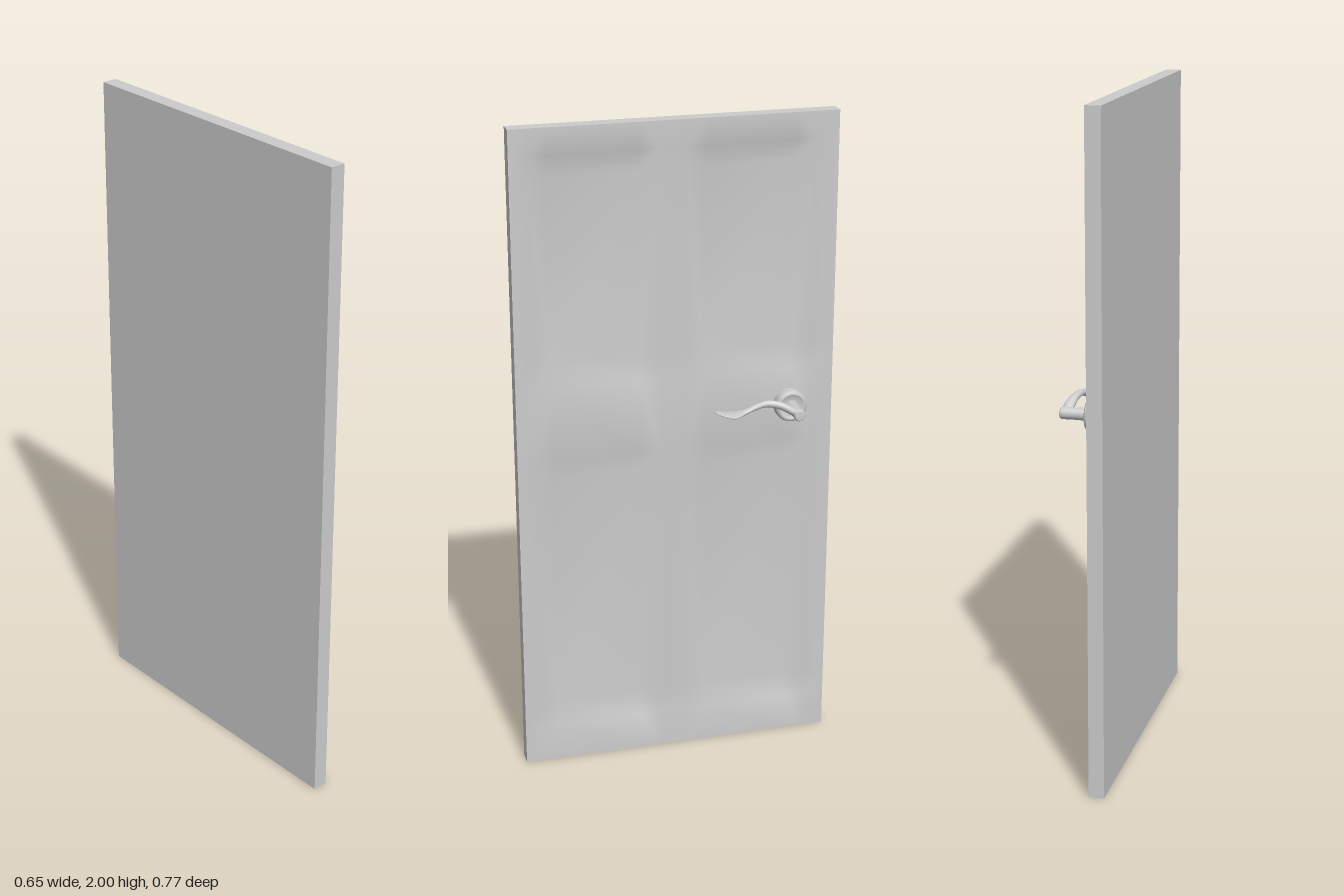
import * as THREE from 'three';
import { mergeVertices } from 'three/addons/utils/BufferGeometryUtils.js';

const W = 0.966, H = 2, T = 0.046, RECESS = 0.031;
const material = new THREE.MeshStandardMaterial({ color: 0xcccccc });

function addMesh(parent, name, geometry) {
  const mesh = new THREE.Mesh(geometry, material);
  mesh.name = name;
  parent.add(mesh);
  return mesh;
}

// Plain slab: a box whose panelled face is left out
function slabGeometry() {
  const geo = new THREE.BoxGeometry(W, H, T);
  const index = Array.from(geo.index.array);
  index.splice(24, 6);
  geo.setIndex(index);
  geo.clearGroups();
  return geo.translate(0, H / 2, 0);
}

// Panelled face: a grid with four sunken fields and mitred bevels
function panelFaceGeometry() {
  const xs = [-W / 2, -0.428, -0.374, -0.108, -0.05, 0.03, 0.089, 0.357, 0.413, W / 2];
  const ys = [0, 0.115, 0.183, 0.935, 1.005, 1.232, 1.3, 1.852, 1.921, H];
  const sunk = (i) => [2, 3, 6, 7].includes(i);
  const n = xs.length, positions = [], index = [];
  ys.forEach((y, j) => xs.forEach((x, i) =>
    positions.push(x, y, T / 2 - (sunk(i) && sunk(j) ? RECESS : 0))));
  for (let j = 0; j < n - 1; j++) {
    for (let i = 0; i < n - 1; i++) {
      const a = j * n + i, b = a + 1, c = b + n, d = a + n;
      // the diagonal runs through the sunken corner to form the mitre
      const rising = sunk(i) === sunk(j);
      if (rising) index.push(a, b, c, a, c, d);
      else index.push(a, b, d, b, c, d);
    }
  }
  const geo = new THREE.BufferGeometry();
  geo.setAttribute('position', new THREE.Float32BufferAttribute(positions, 3));
  geo.setIndex(index);
  geo.computeVertexNormals();
  return geo;
}

// Turned part whose axis points out of the door face
function turned(profile) {
  const points = profile.map(([r, z]) => new THREE.Vector2(r, z));
  return new THREE.LatheGeometry(points, 28).rotateX(Math.PI / 2);
}

// Lever: oval sections swept from leaf-shaped tip to stem
function leverGeometry() {
  // x, y, z, half depth, half height
  const sections = [
    [0.097, 1.136, 0.095, 0.001, 0.001],
    [0.101, 1.136, 0.095, 0.014, 0.003],
    [0.125, 1.129, 0.099, 0.025, 0.005],
    [0.148, 1.126, 0.102, 0.030, 0.006],
    [0.166, 1.126, 0.100, 0.025, 0.007],
    [0.187, 1.130, 0.097, 0.014, 0.008],
    [0.215, 1.140, 0.097, 0.010, 0.009],
    [0.250, 1.151, 0.101, 0.010, 0.010],
    [0.290, 1.146, 0.109, 0.012, 0.012],
    [0.325, 1.129, 0.116, 0.016, 0.014],
    [0.348, 1.117, 0.117, 0.014, 0.012],
  ];
  const path = new THREE.CatmullRomCurve3(sections.map((s) => new THREE.Vector3(s[0], s[1], s[2])));
  const size = new THREE.CatmullRomCurve3(sections.map((s) => new THREE.Vector3(s[3], s[4], 0)));
  const geo = new THREE.CylinderGeometry(1, 1, 1, 16, 50, true);
  const pos = geo.attributes.position;
  for (let i = 0; i < pos.count; i++) {
    const t = THREE.MathUtils.clamp(pos.getY(i) + 0.5, 0, 1);
    const c = path.getPoint(t), s = size.getPoint(t);
    pos.setXYZ(i, c.x, c.y + pos.getZ(i) * s.y, c.z + pos.getX(i) * s.x);
  }
  geo.deleteAttribute('uv');
  geo.deleteAttribute('normal');
  const merged = mergeVertices(geo, 1e-5);
  merged.computeVertexNormals();
  return merged;
}

export function createModel() {
  const model = new THREE.Group();
  model.name = 'door';

  // Door leaf
  const leaf = new THREE.Group();
  leaf.name = 'doorLeaf';
  addMesh(leaf, 'slab', slabGeometry());
  addMesh(leaf, 'panelledFace', panelFaceGeometry());

  // Handle
  const handle = new THREE.Group();
  handle.name = 'handle';
  const rose = addMesh(handle, 'rose', turned([
    [0.049, 0], [0.049, 0.001], [0.049, 0.022], [0.047, 0.029], [0.042, 0.033],
    [0.036, 0.033], [0.031, 0.028], [0.018, 0.028],
  ]));
  const stem = addMesh(handle, 'stem', turned([
    [0.02, 0.026], [0.0185, 0.035], [0.0175, 0.06], [0.0175, 0.09], [0.018, 0.106],
    [0.016, 0.111], [0.014, 0.112], [0, 0.112],
  ]));
  for (const part of [rose, stem]) part.position.set(0.348, 1.115, T / 2);
  addMesh(handle, 'lever', leverGeometry());
  leaf.add(handle);

  // The door stands ajar
  leaf.rotation.y = Math.atan2(0.771, -0.637);
  model.add(leaf);
  return model;
}
